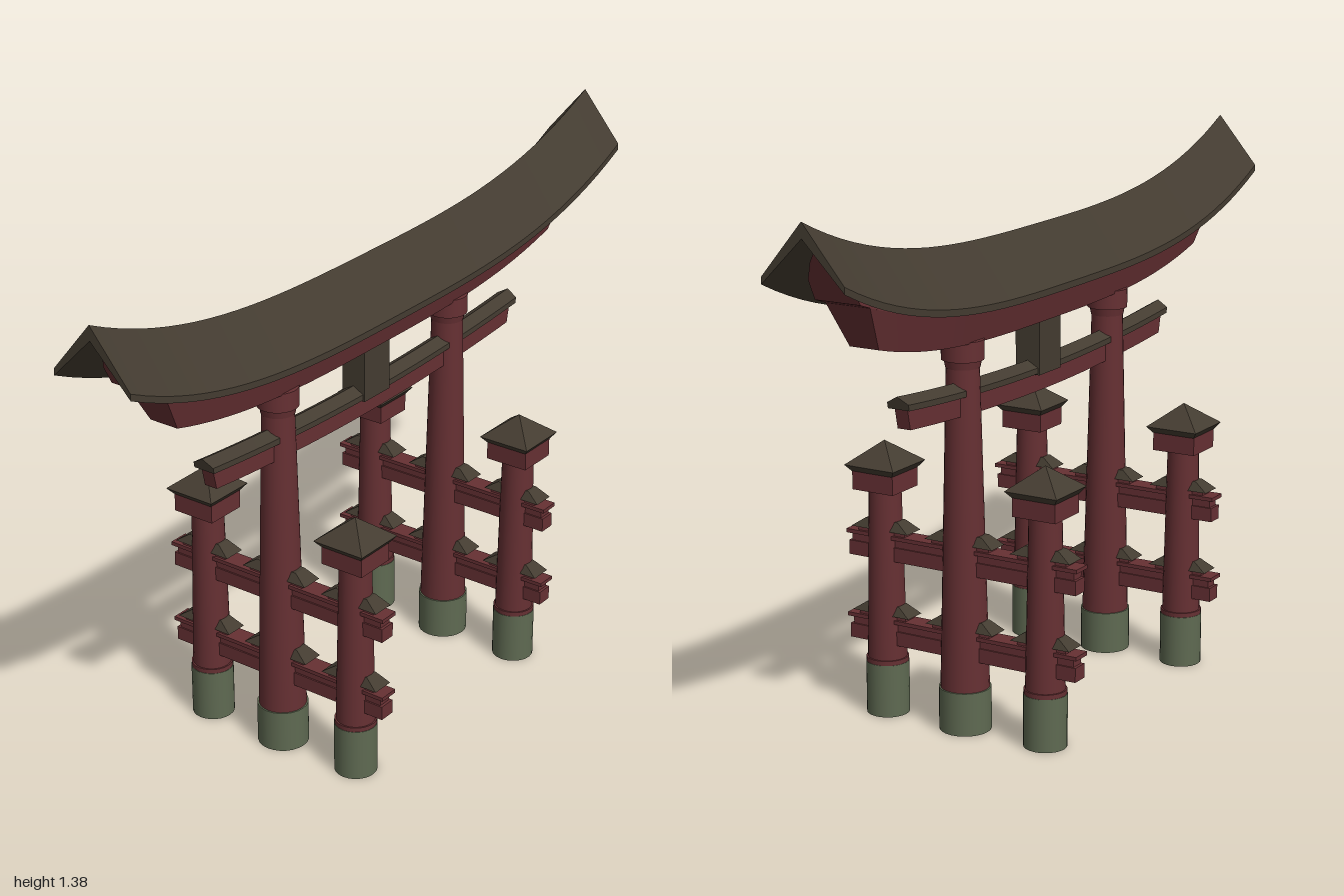
import * as THREE from 'three';
import { toCreasedNormals } from 'three/addons/utils/BufferGeometryUtils.js';

const mat = (name, color) => Object.assign(new THREE.MeshStandardMaterial({ color }), { name });

export function createModel() {
  const red = mat('red lacquer', 0x663033);
  const roof = mat('dark roof', 0x443c31);
  const stone = mat('mossy stone', 0x5f6a52);
  const model = new THREE.Group();

  const add = (parent, name, geo, material, x = 0, y = 0, z = 0) => {
    const mesh = new THREE.Mesh(geo, material);
    mesh.name = name;
    mesh.position.set(x, y, z);
    parent.add(mesh);
    return mesh;
  };

  // Sweeps a section of [z, y, halfLength] points along x, lifted by rise(x)
  const sweep = (section, rise, steps = 40) => {
    const n = section.length, pos = [], idx = [];
    for (let i = 0; i <= steps; i++) {
      for (const [z, y, len] of section) {
        const x = (i / steps * 2 - 1) * len;
        pos.push(x, y + rise(x), z);
      }
    }
    for (let i = 0; i < steps; i++) {
      for (let j = 0; j < n; j++) {
        const a = i * n + j, b = i * n + (j + 1) % n;
        idx.push(a, b + n, b, a, a + n, b + n);
      }
    }
    const flat = section.map(([z, y]) => new THREE.Vector2(z, y));
    for (const [a, b, c] of THREE.ShapeUtils.triangulateShape(flat, [])) {
      const e = steps * n;
      idx.push(a, b, c, e + a, e + c, e + b);
    }
    const geo = new THREE.BufferGeometry();
    geo.setAttribute('position', new THREE.Float32BufferAttribute(pos, 3));
    geo.setIndex(idx);
    return toCreasedNormals(geo, 0.35);
  };

  // Box from y = 0 to h whose top and bottom half sizes differ
  const taperBox = (bx, bz, tx, tz, h) => {
    const geo = new THREE.BoxGeometry(2, h, 2).translate(0, h / 2, 0);
    const p = geo.attributes.position;
    for (let i = 0; i < p.count; i++) {
      const top = p.getY(i) > h / 2;
      p.setX(i, p.getX(i) * (top ? tx : bx));
      p.setZ(i, p.getZ(i) * (top ? tz : bz));
    }
    const out = geo.toNonIndexed();
    out.computeVertexNormals();
    return out;
  };

  // Upright cylinder between two heights
  const drum = (r0, r1, y0, y1) =>
    new THREE.CylinderGeometry(r1, r0, y1 - y0, 24).translate(0, (y0 + y1) / 2, 0);

  // Curved main roof and the two beams under it
  const roofRise = x => 0.155 * Math.abs(x) ** 3.1;
  add(model, 'mainRoof', sweep([
    [0, 1.19, 1], [0.112, 1.078, 1], [0.112, 1.095, 1],
    [0, 1.228, 1], [-0.112, 1.095, 1], [-0.112, 1.078, 1],
  ], roofRise), roof);
  add(model, 'upperBeam', sweep([
    [-0.062, 1.08, 0.87], [0.062, 1.08, 0.87], [0.058, 1.12, 0.9], [0.03, 1.155, 0.93],
    [0, 1.185, 0.95], [-0.03, 1.155, 0.93], [-0.058, 1.12, 0.9],
  ], roofRise), red);
  add(model, 'lowerBeam', sweep([
    [-0.04, 0.988, 0.77], [0.04, 0.988, 0.77], [0.062, 1.085, 0.835], [-0.062, 1.085, 0.835],
  ], roofRise), red);

  // Tie beam with its own small roof
  const tieRise = x => 0.03 * (x / 0.63) ** 2;
  add(model, 'tieBeam', sweep([
    [-0.018, 0.803, 0.613], [0.018, 0.803, 0.613], [0.018, 0.855, 0.625], [-0.018, 0.855, 0.625],
  ], tieRise, 24), red);
  add(model, 'tieBeamRoof', sweep([
    [-0.03, 0.853, 0.635], [0.03, 0.853, 0.635], [0.03, 0.868, 0.638],
    [0, 0.885, 0.642], [-0.03, 0.868, 0.638],
  ], tieRise, 24), roof);

  // Central plaque
  add(model, 'plaque', new THREE.BoxGeometry(0.105, 0.155, 0.07), roof, 0, 0.927, 0);

  for (const side of [-1, 1]) {
    const bay = new THREE.Group();
    bay.name = side > 0 ? 'leftSupport' : 'rightSupport';
    bay.position.x = side * 0.356;
    model.add(bay);

    // Main pillar
    add(bay, 'pillarBase', drum(0.066, 0.066, 0, 0.112), stone);
    add(bay, 'pillar', drum(0.062, 0.041, 0.112, 0.95), red);
    add(bay, 'pillarNeck', drum(0.043, 0.047, 0.93, 0.952), red);
    add(bay, 'pillarCapital', drum(0.053, 0.053, 0.95, 1.0), red);

    // Front and back posts
    for (const z of [-0.233, 0.233]) {
      add(bay, 'postBase', drum(0.055, 0.055, 0, 0.138), stone, 0, 0, z);
      add(bay, 'postCollar', drum(0.054, 0.054, 0.138, 0.15), red, 0, 0, z);
      add(bay, 'post', drum(0.05, 0.041, 0.15, 0.595), red, 0, 0, z);
      add(bay, 'postHead', new THREE.BoxGeometry(0.112, 0.05, 0.12), red, 0, 0.617, z);
      add(bay, 'postEave', taperBox(0.058, 0.06, 0.072, 0.073, 0.017), roof, 0, 0.64, z);
      const cap = new THREE.ConeGeometry(Math.SQRT2, 0.058, 4, 1, true).rotateY(Math.PI / 4)
        .scale(0.072, 1, 0.073).toNonIndexed();
      cap.computeVertexNormals();
      add(bay, 'postRoof', cap, roof, 0, 0.686, z);
    }

    // Cross rails with small roofed wedges at each post
    for (const y of [0.188, 0.409]) {
      add(bay, 'crossRail', new THREE.BoxGeometry(0.044, 0.037, 0.66), red, 0, y + 0.018, 0);
      add(bay, 'crossRailUpper', new THREE.BoxGeometry(0.036, 0.022, 0.645), red, 0, y + 0.047, 0);
      add(bay, 'crossRailTop', new THREE.BoxGeometry(0.054, 0.01, 0.67), red, 0, y + 0.062, 0);
      for (const [z, w] of [[-0.233, 0.084], [0, 0.098], [0.233, 0.084]]) {
        add(bay, 'wedge', taperBox(0.02, w - 0.015, 0.02, w - 0.015, 0.014), red, 0, y + 0.066, z);
        add(bay, 'wedgeRoof', taperBox(0.03, w, 0.018, w - 0.036, 0.024), roof, 0, y + 0.078, z);
      }
    }
  }
  return model;
}
